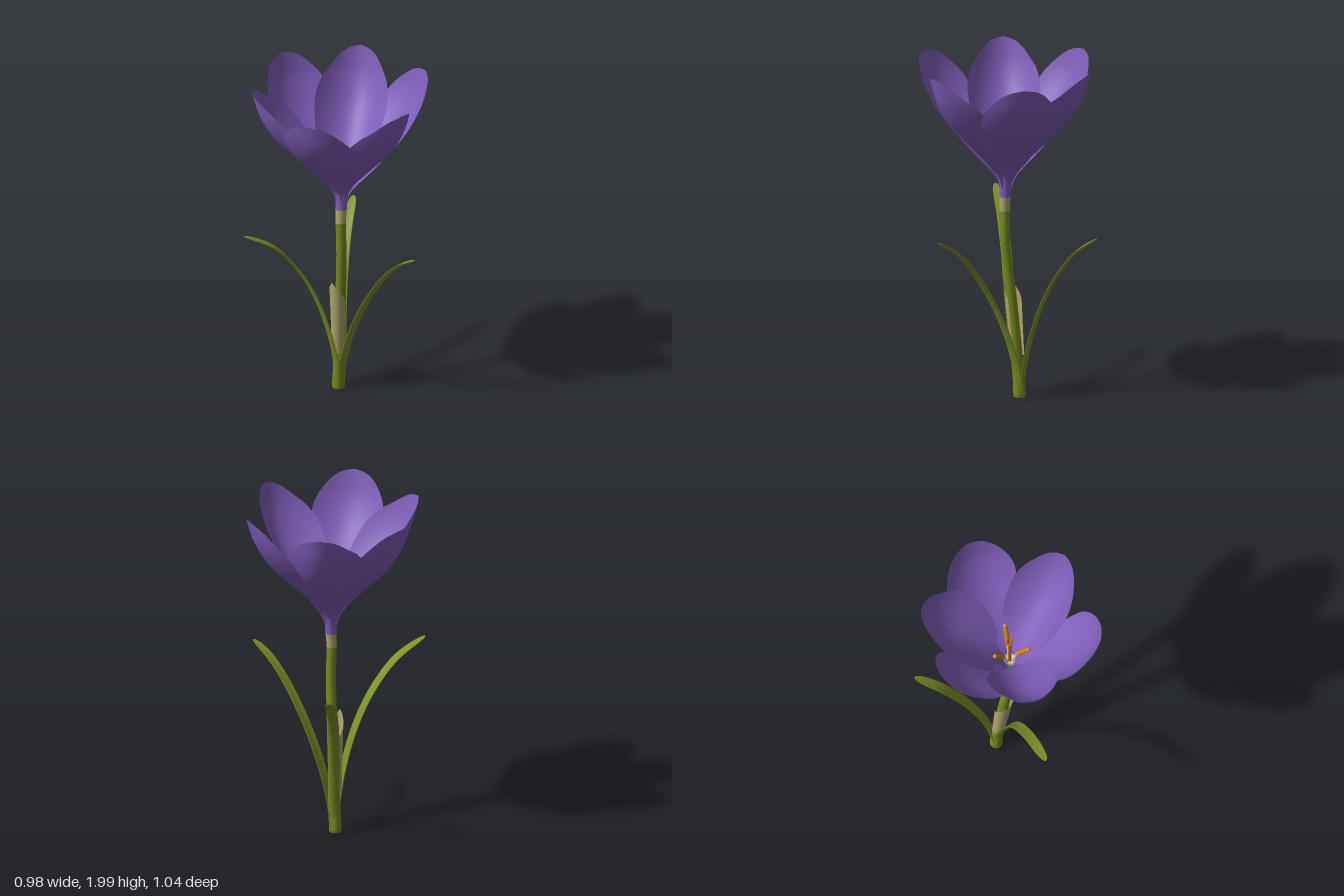
import * as THREE from 'three';
import { mergeVertices } from 'three/addons/utils/BufferGeometryUtils.js';

const V = (x, y, z) => new THREE.Vector3(x, y, z);
const spline2 = pts => new THREE.SplineCurve(pts.map(p => new THREE.Vector2(...p)));
const mat = (name, color, side = THREE.FrontSide) => {
  const m = new THREE.MeshStandardMaterial({ color, side });
  m.name = name;
  return m;
};

// Smooth grid surface from fn(u, v), u and v in 0..1
function sheet(nu, nv, fn) {
  const pos = [], idx = [];
  for (let j = 0; j <= nv; j++)
    for (let i = 0; i <= nu; i++) pos.push(...fn(i / nu, j / nv).toArray());
  for (let j = 0; j < nv; j++)
    for (let i = 0; i < nu; i++) {
      const a = j * (nu + 1) + i, c = a + nu + 1;
      idx.push(a, a + 1, c, a + 1, c + 1, c);
    }
  let g = new THREE.BufferGeometry();
  g.setAttribute('position', new THREE.Float32BufferAttribute(pos, 3));
  g.setIndex(idx);
  g = mergeVertices(g, 1e-5);
  g.computeVertexNormals();
  return g;
}

// Upright tube of horizontal rings; rows are [x, y, z, radius]
function upright(rows, nv) {
  const c = new THREE.CatmullRomCurve3(rows.map(r => V(r[0], r[1], r[2])));
  const rad = new THREE.CatmullRomCurve3(rows.map((r, i) => V(r[3], i, 0)));
  return sheet(24, nv, (u, v) => {
    const p = c.getPoint(v), r = rad.getPoint(v).x, a = u * Math.PI * 2;
    return p.add(V(Math.cos(a) * r, 0, -Math.sin(a) * r));
  });
}

// Strap leaf: lens section, slightly channelled upper face, blunt rounded tip
function leafGeometry(points, azimuth) {
  const curve = new THREE.CatmullRomCurve3(points);
  const S = V(Math.cos(azimuth), 0, Math.sin(azimuth)).cross(V(0, 1, 0));
  return sheet(20, 56, (u, v) => {
    const t = Math.sin(v * Math.PI / 2);
    const T = curve.getTangentAt(t), N = S.clone().cross(T).normalize();
    const end = Math.sqrt(Math.max(0, 1 - t ** 20));
    const w = (0.034 - 0.003 * t) * end, a = -u * Math.PI * 2;
    return curve.getPointAt(t)
      .addScaledVector(S, Math.cos(a) * w)
      .addScaledVector(N, Math.sin(a) * 0.008 * end + 0.25 * w * Math.cos(a) ** 2);
  });
}

// Petal: midrib profile in radius/height, half-width along it, parabolic cup
const midrib = spline2([[0.025, 1.25], [0.06, 1.34], [0.21, 1.5], [0.37, 1.665],
  [0.465, 1.82], [0.515, 1.985]]);
const innerWidth = spline2([[0, 0.025], [0.1, 0.06], [0.23, 0.125], [0.4, 0.176], [0.6, 0.199],
  [0.76, 0.183], [0.88, 0.138], [0.965, 0.078], [1, 0]]);
const outerWidth = spline2([[0, 0.025], [0.1, 0.05], [0.25, 0.11], [0.45, 0.175], [0.66, 0.209],
  [0.8, 0.195], [0.91, 0.145], [0.975, 0.08], [1, 0]]);
function petalGeometry(degrees, width, cup, reach, broad) {
  const az = degrees * Math.PI / 180, ca = Math.cos(az), sa = Math.sin(az);
  return sheet(24, 48, (u, v) => {
    const h = width.getPoint(v), t = Math.min(1, Math.max(0, h.x));
    const p = midrib.getPointAt(t), d = midrib.getTangentAt(t);
    const lat = h.y * broad * (u * 2 - 1), depth = cup * lat * lat;
    const r = p.x * reach - d.y * depth, y = p.y + d.x * depth;
    return V(ca * r - sa * lat, y, sa * r + ca * lat);
  });
}

export function createModel() {
  const group = new THREE.Group();
  const green = mat('leafGreen', 0x7c9024);
  const stemGreen = mat('stemGreen', 0x768b20);
  const purple = mat('petalPurple', 0x7f5eba, THREE.DoubleSide);
  const papery = mat('paperySheath', 0xb0a86c, THREE.DoubleSide);
  const pale = mat('paleThroat', 0xc8c8c4, THREE.DoubleSide);
  const orange = mat('antherOrange', 0xd48410);
  const deepOrange = mat('stigmaOrange', 0xcc720c);
  const add = (name, geo, m, parent = group) => {
    const mesh = new THREE.Mesh(geo, m);
    mesh.name = name;
    parent.add(mesh);
    return mesh;
  };

  // Stem, pale neck and floral tube
  add('stem', upright([[0.058, 0, -0.068, 0], [0.058, 0.001, -0.068, 0.034], [0.056, 0.1, -0.064, 0.034],
    [0.047, 0.35, -0.046, 0.031], [0.03, 0.65, -0.022, 0.03], [0.013, 0.9, -0.001, 0.029],
    [0.006, 1.11, 0, 0.029]], 60), stemGreen);
  add('neck', upright([[0.006, 1.11, 0, 0.029], [0.008, 1.15, 0, 0.03], [0.011, 1.195, 0, 0.032]], 8), papery);
  add('floralTube', upright([[0.011, 1.195, 0, 0.032], [0.013, 1.25, 0, 0.034], [0.014, 1.3, 0, 0.04]], 10), purple);

  // Papery sheath wrapped around the back of the stem, rising to a point
  add('sheath', sheet(32, 20, (u, v) => {
    const k = u * 2 - 1, a = Math.PI - 0.15 + k * 1.95;
    const top = 0.72 - 0.14 * Math.abs(k - 0.1), y = 0.24 + (top - 0.24) * v;
    const f = (y - 0.24) / 0.48, r = 0.037 + 0.014 * f;
    return V(0.05 - 0.027 * f + Math.cos(a) * r, y, -0.06 + 0.024 * f - Math.sin(a) * r);
  }), papery);

  // Three arching leaves
  const leaves = [
    [V(0.052, 0, -0.07), V(0.03, 0.18, -0.07), V(-0.018, 0.38, -0.075), V(-0.087, 0.6, -0.1),
      V(-0.177, 0.8, -0.145), V(-0.31, 0.98, -0.213), V(-0.475, 1.09, -0.295)],
    [V(0.066, 0, -0.072), V(0.096, 0.23, -0.088), V(0.142, 0.465, -0.126), V(0.22, 0.7, -0.185),
      V(0.325, 0.88, -0.255), V(0.445, 0.99, -0.325)],
    [V(0.062, 0, -0.06), V(0.064, 0.18, -0.03), V(0.065, 0.38, 0.033), V(0.065, 0.61, 0.142),
      V(0.066, 0.83, 0.287), V(0.068, 0.955, 0.405), V(0.07, 1.03, 0.52)],
  ];
  for (const pts of leaves) {
    const d = pts.at(-1).clone().sub(pts[0]);
    add('leaf', leafGeometry(pts, Math.atan2(d.z, d.x)), green);
  }

  // Flower: three broad outer petals and three deeply cupped inner petals
  const flower = new THREE.Group();
  flower.name = 'flower';
  flower.position.set(0.014, 0, 0);
  group.add(flower);
  for (const [degrees, reach] of [[-86, 1.015], [25, 0.99], [156, 1.035]])
    add('outerPetal', petalGeometry(degrees, outerWidth, 1.8, reach, 1), purple, flower);
  for (const [degrees, reach, broad] of [[92, 0.96, 0.98], [215, 1, 1.04], [-32, 0.98, 1.05]])
    add('innerPetal', petalGeometry(degrees, innerWidth, 3.3, reach, broad), purple, flower);

  // Pale throat cup
  add('throat', new THREE.LatheGeometry([[0, 1.3], [0.022, 1.305], [0.034, 1.318]]
    .map(p => new THREE.Vector2(...p)), 24), pale, flower);

  // Stamens: pale filaments with orange anthers around a branched style
  const rod = (name, a, b, r, m) => {
    const mesh = add(name, new THREE.CapsuleGeometry(r, a.distanceTo(b) - 2 * r, 6, 12), m, flower);
    mesh.position.copy(a).lerp(b, 0.5);
    mesh.quaternion.setFromUnitVectors(V(0, 1, 0), b.clone().sub(a).normalize());
  };
  const polar = (a, r, y) => V(Math.cos(a) * r, y, Math.sin(a) * r);
  for (let i = 0; i < 3; i++) {
    const a = -1.4 + i * Math.PI * 2 / 3;
    rod('filament', polar(a, 0.018, 1.3), polar(a, 0.05, 1.46), 0.008, pale);
    rod('anther', polar(a, 0.045, 1.44), polar(a, 0.118, 1.58), 0.0135, orange);
    rod('stigmaBranch', polar(a + 1.05, 0, 1.54), polar(a + 1.05, 0.02, 1.61), 0.008, deepOrange);
  }
  rod('style', V(0, 1.28, 0), V(0, 1.57, 0), 0.01, deepOrange);

  return group;
}
